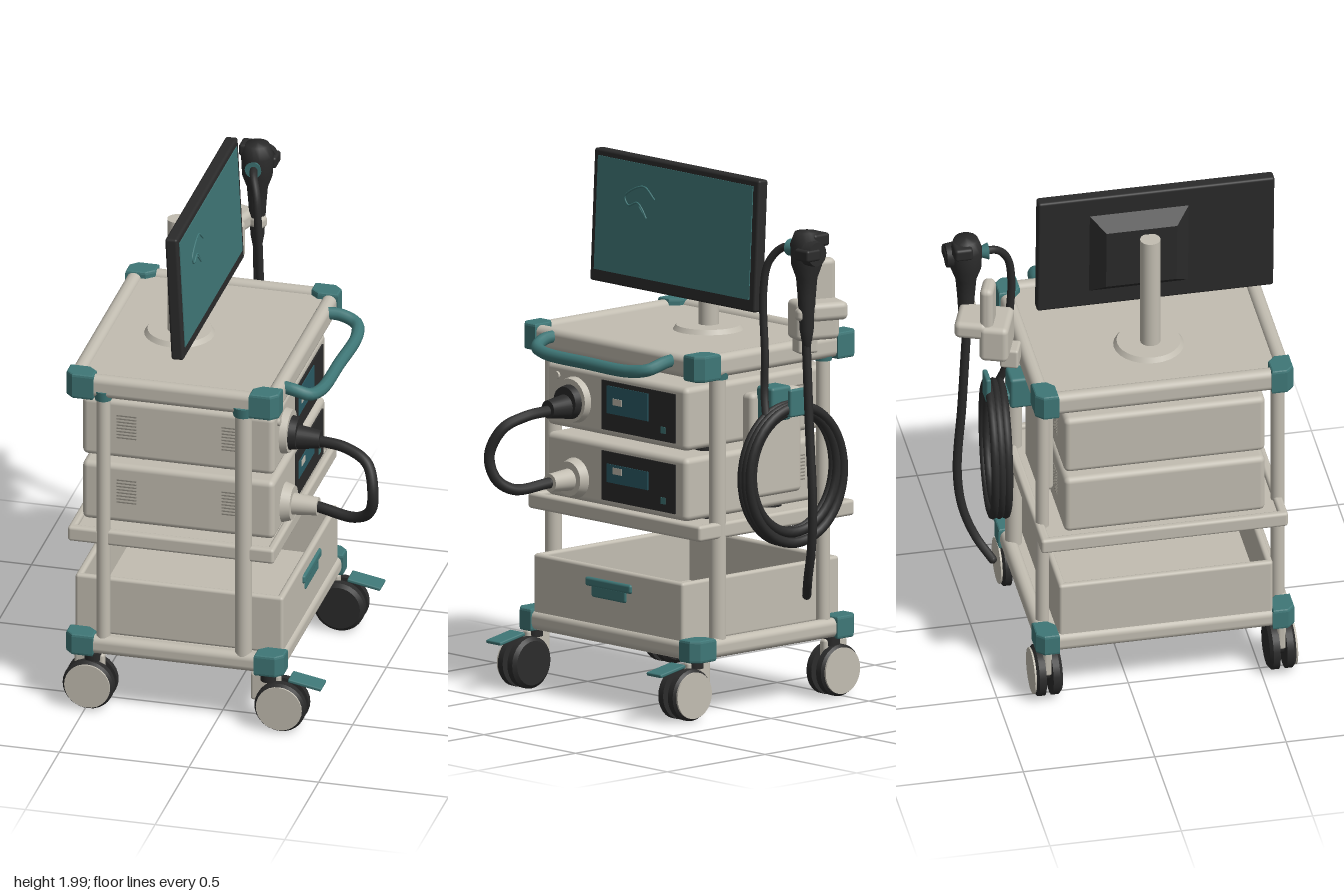
import * as THREE from 'three';
import { RoundedBoxGeometry } from 'three/addons/geometries/RoundedBoxGeometry.js';

const mat = (name, color) => {
  const m = new THREE.MeshStandardMaterial({ color });
  m.name = name;
  return m;
};

export function createModel() {
  const root = new THREE.Group();
  root.name = 'equipmentCart';
  const light = mat('warmGrey', 0xc2bdb1);
  const teal = mat('teal', 0x3f7777);
  const dark = mat('charcoal', 0x2b2b2b);
  const display = mat('darkTeal', 0x2b5c66);
  const groove = mat('grooveGrey', 0x8b877d);

  const group = (name, x = 0, y = 0, z = 0) => {
    const g = new THREE.Group();
    g.name = name;
    g.position.set(x, y, z);
    root.add(g);
    return g;
  };
  const add = (name, geo, m, parent = root) => {
    const mesh = new THREE.Mesh(geo, m);
    mesh.name = name;
    parent.add(mesh);
    return mesh;
  };
  // box given by its limits on each axis, optionally rounded
  const box = (name, m, x0, x1, y0, y1, z0, z1, r = 0, parent = root) => {
    const s = [x1 - x0, y1 - y0, z1 - z0];
    const geo = r ? new RoundedBoxGeometry(...s, 3, r) : new THREE.BoxGeometry(...s);
    const mesh = add(name, geo, m, parent);
    mesh.position.set((x0 + x1) / 2, (y0 + y1) / 2, (z0 + z1) / 2);
    return mesh;
  };
  // cylinder along an axis, r0 at the low end and r1 at the high end
  const cyl = (name, m, axis, x, y, z, r0, r1, len, parent = root) => {
    const geo = new THREE.CylinderGeometry(r1, r0, len, 28);
    if (axis === 'x') geo.rotateZ(-Math.PI / 2);
    if (axis === 'z') geo.rotateX(Math.PI / 2);
    const mesh = add(name, geo, m, parent);
    mesh.position.set(x, y, z);
    return mesh;
  };
  const tube = (name, m, pts, r, parent = root) => {
    const curve = new THREE.CatmullRomCurve3(pts.map(p => new THREE.Vector3(...p)));
    add(name, new THREE.TubeGeometry(curve, 56, r, 10), m, parent);
    for (const p of [pts[0], pts[pts.length - 1]])
      add(name + 'End', new THREE.SphereGeometry(r, 10, 8), m, parent).position.set(...p);
  };

  // rim of four rails with teal corner guards
  const frame = (name, x0, x1, z0, z1, y0, y1, w) => {
    const g = group(name);
    const e = 0.006;
    for (const z of [z0 + e, z1 - w - e])
      box('sideRail', light, x0 + 0.04, x1 - 0.04, y0 + e, y1 - e, z, z + w, 0.026, g);
    for (const x of [x0 + e, x1 - w - e])
      box('endRail', light, x, x + w, y0 + e, y1 - e, z0 + 0.04, z1 - 0.04, 0.026, g);
    const outline = [[0, 0.025], [0.025, 0], [0.098, 0], [0.098, 0.05], [0.07, 0.075], [0, 0.075]];
    for (const sx of [1, -1]) for (const sz of [1, -1]) {
      const s = new THREE.Shape(outline.map(([a, b]) => new THREE.Vector2(sx * (a + 0.006), sz * (b + 0.006))));
      const geo = new THREE.ExtrudeGeometry(s, {
        depth: y1 - y0 - 0.02, bevelThickness: 0.01, bevelSize: 0.006, bevelSegments: 2 });
      geo.rotateX(Math.PI / 2);
      add('cornerGuard', geo, teal, g).position.set(sx > 0 ? x0 : x1, y1 - 0.01, sz > 0 ? z0 : z1);
    }
  };

  // table top, middle shelf and base
  frame('tableFrame', -0.58, 0.24, -0.365, 0.618, 1.29, 1.39, 0.055);
  box('tableTop', light, -0.55, 0.21, 1.305, 1.365, -0.33, 0.59);
  box('shelf', light, -0.565, 0.21, 0.685, 0.725, -0.335, 0.585, 0.012);
  for (const z of [-0.345, 0.56]) box('shelfSideRail', light, -0.575, 0.22, 0.682, 0.742, z, z + 0.035, 0.012);
  for (const x of [-0.575, 0.19]) box('shelfEndRail', light, x, x + 0.03, 0.682, 0.742, -0.34, 0.59, 0.012);
  frame('baseFrame', -0.58, 0.26, -0.362, 0.622, 0.225, 0.31, 0.055);
  box('basePlate', light, -0.555, 0.24, 0.232, 0.285, -0.33, 0.59);

  // posts with collars
  for (const [x, r] of [[-0.44, 0.026], [0.1, 0.032]]) for (const z of [-0.315, 0.58]) {
    cyl('post', light, 'y', x, 0.79, z, r, r, 1.04);
    cyl('postCollar', teal, 'y', x, 1.305, z, r + 0.006, r + 0.012, 0.04);
  }

  // push handle
  tube('pushHandle', teal, [[0.2, 1.355, -0.19], [0.27, 1.35, -0.2], [0.335, 1.33, -0.185], [0.358, 1.318, -0.11],
    [0.352, 1.315, 0.13], [0.342, 1.318, 0.37], [0.315, 1.33, 0.44], [0.26, 1.35, 0.455], [0.2, 1.355, 0.445]], 0.024);

  // open drawer with pull
  const drawer = group('drawer');
  box('drawerFloor', light, -0.55, 0.23, 0.285, 0.32, -0.265, 0.53, 0, drawer);
  for (const x of [-0.56, 0.215]) box('drawerEnd', light, x, x + 0.027, 0.285, 0.52, -0.275, 0.54, 0.012, drawer);
  for (const z of [-0.275, 0.513]) box('drawerSide', light, -0.56, 0.242, 0.285, 0.52, z, z + 0.027, 0.012, drawer);
  box('drawerPull', teal, 0.225, 0.252, 0.44, 0.475, 0, 0.25, 0.01, drawer);
  box('drawerPullLip', teal, 0.225, 0.248, 0.4, 0.45, 0.03, 0.22, 0.01, drawer);

  // two stacked devices
  for (const [name, y, sy0, sy1] of [['upperDevice', 1.01, 1.1, 1.205], ['lowerDevice', 0.742, 0.838, 0.908]]) {
    const g = group(name);
    box('casing', light, -0.54, 0.2, y, y + 0.24, -0.25, 0.515, 0.022, g);
    box('controlPanel', dark, 0.196, 0.206, y + 0.025, y + 0.212, -0.195, 0.205, 0, g);
    box('panelDisplay', display, 0.203, 0.209, sy0, sy1, -0.05, 0.175, 0, g);
    box('displayMark', light, 0.205, 0.211, sy0 + 0.035, sy0 + 0.06, 0.09, 0.14, 0, g);
    box('panelButton', teal, 0.203, 0.209, y + 0.055, y + 0.08, -0.145, -0.12, 0, g);
    for (const z of [0.515, -0.25]) for (const x of [-0.405, 0]) for (let i = 0; i < 8; i++)
      box('vent', groove, x, x + 0.075, y + 0.085 + i * 0.013, y + 0.09 + i * 0.013, z - 0.003, z + 0.003, 0, g);
    for (const x of [-0.32, 0.0]) for (const z of [-0.15, 0.4])
      cyl('foot', dark, 'y', x, y - 0.012, z, 0.045, 0.045, 0.035, g);
  }
  cyl('powerButton', light, 'x', 0.203, 1.205, 0.45, 0.014, 0.014, 0.012);

  // sockets, plugs and linking cable
  cyl('upperSocket', light, 'x', 0.212, 1.125, 0.355, 0.088, 0.082, 0.03);
  cyl('upperPlugRing', dark, 'x', 0.235, 1.12, 0.355, 0.068, 0.06, 0.04);
  cyl('upperPlug', dark, 'x', 0.29, 1.105, 0.355, 0.048, 0.034, 0.1);
  cyl('lowerSocket', light, 'x', 0.215, 0.828, 0.355, 0.078, 0.065, 0.04);
  cyl('lowerPlug', light, 'x', 0.28, 0.825, 0.355, 0.042, 0.034, 0.1);
  tube('linkCable', dark, [[0.32, 1.1, 0.355], [0.44, 1.09, 0.37], [0.53, 1.05, 0.4], [0.562, 0.95, 0.437],
    [0.545, 0.86, 0.42], [0.48, 0.815, 0.39], [0.33, 0.825, 0.357]], 0.021);

  // monitor, tilted slightly back
  const monitor = group('monitor', -0.155, 1.749, 0.17);
  monitor.rotation.z = 0.05;
  box('monitorFrame', dark, -0.026, 0.022, -0.25, 0.25, -0.45, 0.45, 0.01, monitor);
  box('screen', teal, 0.018, 0.025, -0.205, 0.225, -0.42, 0.425, 0, monitor);
  tube('screenOutline', teal, [[0.025, 0.1, 0.11], [0.025, 0.14, 0.17], [0.025, 0.09, 0.27], [0.025, 0.06, 0.25],
    [0.025, 0.075, 0.2], [0.025, 0.02, 0.15], [0.025, 0.06, 0.19]], 0.004, monitor);
  // rear housing, sloping in on all four sides
  const housing = new THREE.CylinderGeometry(0.5, 0.72, 1, 4, 1);
  housing.rotateY(Math.PI / 4);
  housing.rotateZ(Math.PI / 2);
  const back = add('monitorBack', housing, dark, monitor);
  back.scale.set(0.058, 0.35, 0.38);
  back.position.set(-0.05, -0.005, -0.065);
  back.geometry = housing.toNonIndexed();
  back.geometry.computeVertexNormals();

  // monitor stand
  cyl('standPole', light, 'y', -0.272, 1.6, 0.13, 0.038, 0.038, 0.48);
  cyl('standBase', light, 'y', -0.265, 1.372, 0.125, 0.135, 0.12, 0.022);
  cyl('standClamp', dark, 'y', -0.272, 1.275, 0.13, 0.042, 0.042, 0.06);

  // casters with hubs facing outwards, brake pedals on the handle side
  for (const [x, z, out] of [[-0.49, -0.314, -1], [-0.49, 0.576, 1], [0.25, -0.295, -1], [0.25, 0.58, 1]]) {
    const g = group('caster', x, 0, z);
    for (const s of [-1, 1]) {
      cyl('tyre', dark, 'z', 0, 0.105, s * 0.026, 0.098, 0.098, 0.026, g);
      cyl('tyreShoulder', dark, 'z', 0, 0.105, s * 0.045, s > 0 ? 0.098 : 0.084, s > 0 ? 0.084 : 0.098, 0.012, g);
    }
    cyl('hubCap', light, 'z', 0, 0.105, out * 0.052, 0.088, 0.088, 0.007, g);
    cyl('axle', dark, 'z', 0, 0.105, 0, 0.04, 0.04, 0.05, g);
    const sx = x < 0 ? 0.01 : -0.05;
    box('fork', light, sx - 0.07, sx + 0.045, 0.11, 0.225, -0.017, 0.017, 0.012, g);
    cyl('swivel', dark, 'y', sx, 0.214, 0, 0.034, 0.036, 0.035, g);
    if (x > 0) {
      const pedal = box('brakePedal', teal, 0.03, 0.16, 0.2, 0.214, -0.04, 0.04, 0.005, g);
      pedal.rotation.z = -0.18;
    }
  }

  // scope holder, turned on the rear side of the table
  const holder = group('scopeHolder', -0.25, 0, -0.475);
  holder.rotation.y = -0.35;
  box('holderBlock', light, -0.09, 0.085, 1.41, 1.56, -0.03, 0.08, 0.022, holder);
  box('holderPlate', light, -0.075, 0.03, 1.5, 1.72, -0.03, 0.02, 0.022, holder);
  box('holderShelf', light, -0.085, 0.07, 1.5, 1.57, -0.125, 0, 0.022, holder);
  box('holderArm', light, 0.03, 0.12, 1.505, 1.555, -0.12, -0.07, 0.018, holder);
  box('holderBracket', light, -0.03, 0.05, 1.35, 1.43, 0.04, 0.11, 0.01, holder);

  // scope control head and knobs
  const profile = [[0, 1.4], [0.014, 1.4], [0.026, 1.47], [0.034, 1.6], [0.04, 1.67], [0.058, 1.72], [0.062, 1.8],
    [0.045, 1.845], [0, 1.85]].map(p => new THREE.Vector2(...p));
  add('scopeBody', new THREE.LatheGeometry(profile, 16), dark).position.set(-0.14, 0, -0.545);
  cyl('scopeKnob', dark, 'z', -0.125, 1.77, -0.6, 0.045, 0.05, 0.04);
  box('scopeLever', dark, -0.14, -0.07, 1.745, 1.79, -0.625, -0.55, 0.01);
  box('scopeButtons', dark, -0.21, -0.13, 1.79, 1.84, -0.6, -0.53, 0.012);
  cyl('scopeRing', teal, 'z', -0.135, 1.775, -0.475, 0.02, 0.032, 0.03);
  tube('lightGuideCable', dark, [[-0.14, 1.775, -0.5], [-0.125, 1.77, -0.43], [-0.1, 1.71, -0.38], [-0.09, 1.6, -0.362],
    [-0.085, 1.35, -0.376], [-0.08, 1.22, -0.378], [-0.06, 1.12, -0.41]], 0.015);
  tube('insertionTube', dark, [[-0.14, 1.42, -0.543], [-0.14, 1.1, -0.56], [-0.14, 0.8, -0.578], [-0.15, 0.64, -0.56],
    [-0.175, 0.52, -0.515], [-0.22, 0.44, -0.46]], 0.017);

  // tight cable coil, slightly turned, on its hook and back plate
  const coil = group('cableCoil', -0.17, 0.905, -0.437);
  coil.rotation.y = -0.09;
  for (let i = 0; i < 5; i++) {
    const loop = add('cableLoop', new THREE.TorusGeometry(0.222 - (i % 2) * 0.022, 0.017, 8, 48), dark, coil);
    loop.scale.y = 1.16;
    loop.position.set(0, (i % 2) * 0.012, (i - 2) * 0.012);
  }
  box('backPlate', light, -0.34, -0.08, 0.8, 1.2, -0.31, -0.25, 0.02);
  box('coilHook', teal, -0.21, -0.11, 1.1, 1.23, -0.39, -0.3, 0.012);
  box('coilHookArm', teal, -0.2, -0.12, 1.13, 1.16, -0.48, -0.36, 0.01);
  box('coilHookTip', teal, -0.2, -0.12, 1.13, 1.235, -0.48, -0.46, 0.008);

  return root;
}
